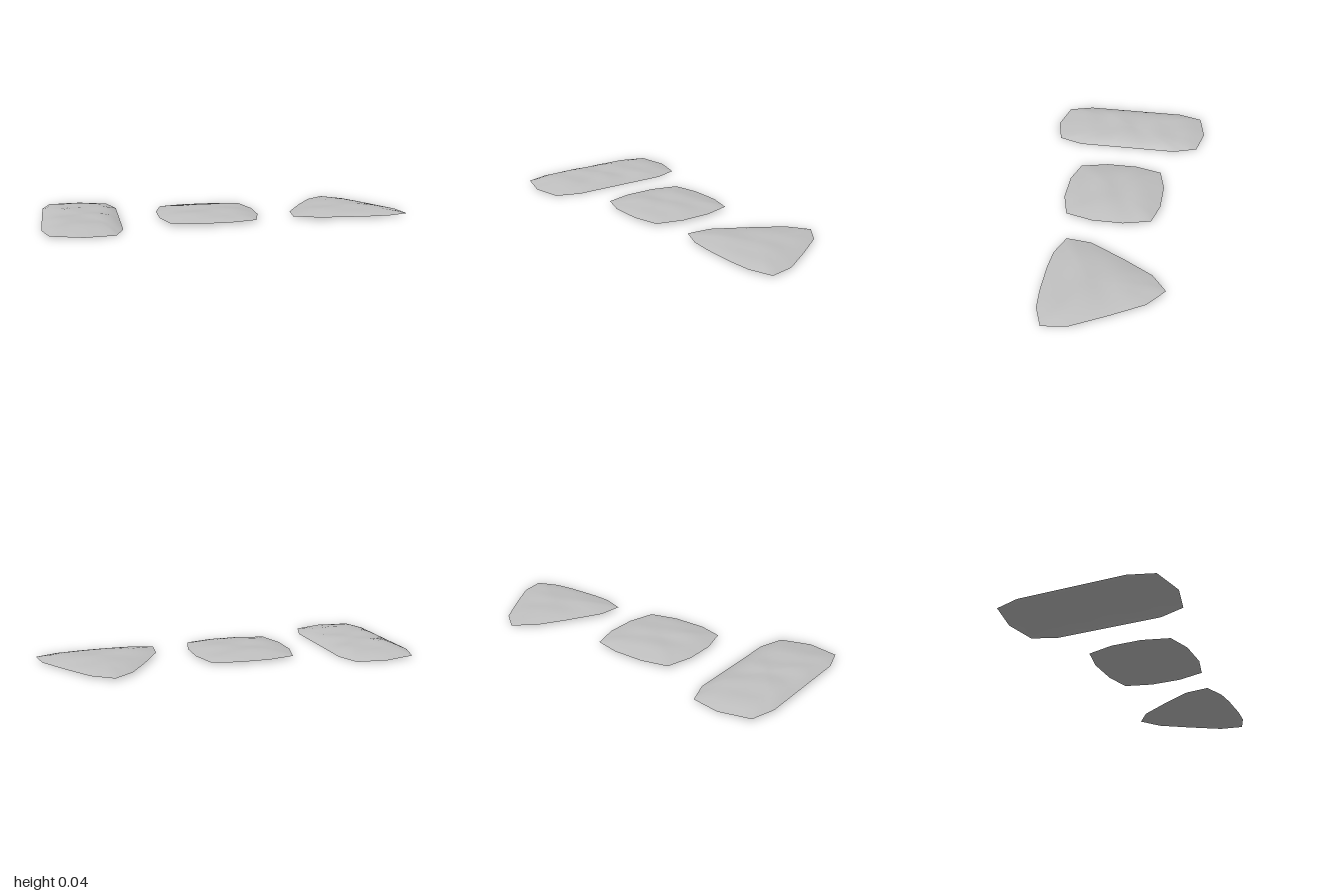
import * as THREE from 'three';

const RINGS = 8;   // rings from centre to rim
const SPLIT = 3;   // subdivisions of each outline edge

// Gentle diagonal undulation of the worn stone surface
function ripple(x, z) {
  return 0.6 * Math.sin(30 * z + 9 * x + 0.6) + 0.4 * Math.sin(17 * x - 21 * z + 1.3);
}

// One thin open stone shell: outline [x, z], rim heights at its -x and +x sides,
// rise of the crown, steepness of the shoulder and strength of the bumps
function steppingStone(name, outline, rim, rise, power, bump, material) {
  const xs = outline.map(p => p[0]), zs = outline.map(p => p[1]);
  const x0 = Math.min(...xs), x1 = Math.max(...xs);
  const cx = (x0 + x1) / 2;
  const cz = zs.reduce((a, b) => a + b, 0) / zs.length;

  const edge = [];
  outline.forEach((p, i) => {
    const q = outline[(i + 1) % outline.length];
    for (let k = 0; k < SPLIT; k++) {
      const t = k / SPLIT;
      edge.push([p[0] + (q[0] - p[0]) * t, p[1] + (q[1] - p[1]) * t]);
    }
  });

  const n = edge.length, positions = [], index = [];
  const addPoint = (x, z, s) => {
    const base = THREE.MathUtils.lerp(rim[0], rim[1], (x - x0) / (x1 - x0));
    const crown = 1 - Math.pow(s, power);
    positions.push(x, base + crown * (rise + bump * ripple(x, z)), z);
  };

  addPoint(cx, cz, 0);
  for (let r = 1; r <= RINGS; r++) {
    const s = r / RINGS;
    for (const [x, z] of edge) addPoint(cx + (x - cx) * s, cz + (z - cz) * s, s);
  }
  for (let i = 0; i < n; i++) {
    const j = (i + 1) % n;
    index.push(0, 1 + j, 1 + i);
    for (let r = 0; r < RINGS - 1; r++) {
      const a = 1 + r * n + i, b = 1 + r * n + j;
      index.push(a, b, b + n, a, b + n, a + n);
    }
  }

  const geometry = new THREE.BufferGeometry();
  geometry.setAttribute('position', new THREE.Float32BufferAttribute(positions, 3));
  geometry.setIndex(index);
  geometry.computeVertexNormals();
  const mesh = new THREE.Mesh(geometry, material);
  mesh.name = name;
  return mesh;
}

export function createModel() {
  const group = new THREE.Group();
  group.name = 'steppingStones';
  const stone = new THREE.MeshStandardMaterial({ color: 0xc0c0c0, side: THREE.DoubleSide });
  stone.name = 'stone grey';

  // Long slab
  group.add(steppingStone('longStone', [
    [-0.79, -0.46], [-0.63, -0.425], [-0.585, -0.29], [-0.585, 0], [-0.585, 0.28],
    [-0.63, 0.415], [-0.79, 0.455], [-0.96, 0.415], [-1, 0.28], [-1, 0], [-1, -0.29], [-0.96, -0.425],
  ], [0.012, 0.0], 0.027, 4, 0.005, stone));

  // Square slab
  group.add(steppingStone('squareStone', [
    [-0.19, -0.275], [-0.01, -0.275], [0.13, -0.24], [0.17, -0.09], [0.17, 0.08], [0.13, 0.23],
    [-0.02, 0.27], [-0.2, 0.27], [-0.335, 0.23], [-0.375, 0.08], [-0.375, -0.09], [-0.335, -0.24],
  ], [0.012, 0.012], 0.022, 3, 0.004, stone));

  // Triangular slab
  group.add(steppingStone('triangularStone', [
    [0.67, -0.38], [0.78, -0.295], [0.88, -0.13], [0.98, 0.05], [1, 0.185], [0.88, 0.23], [0.76, 0.24],
    [0.58, 0.24], [0.465, 0.23], [0.345, 0.185], [0.36, 0.05], [0.465, -0.14], [0.565, -0.3],
  ], [0.014, 0.006], 0.022, 3, 0.003, stone));

  return group;
}
